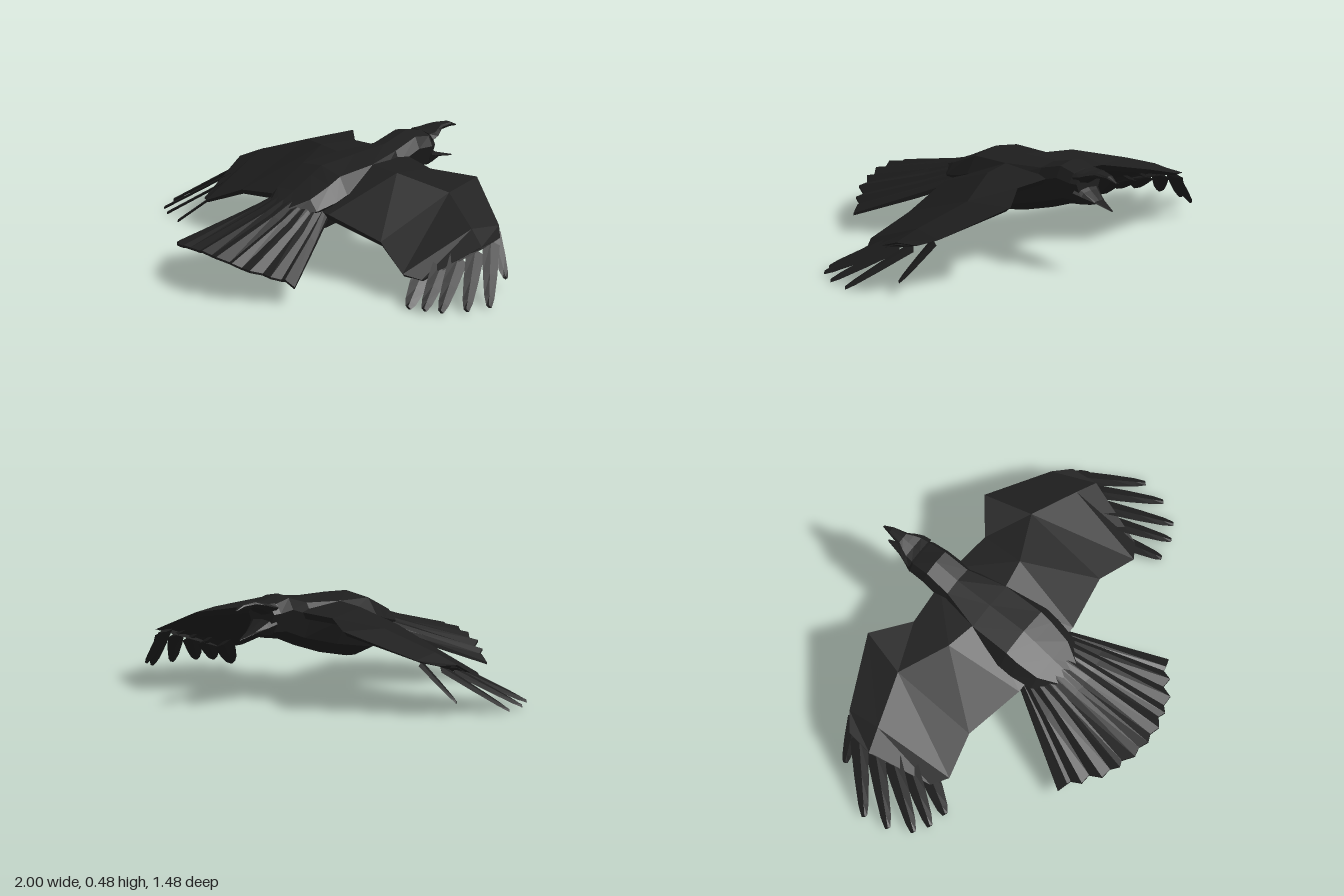
import * as THREE from 'three';

const material = new THREE.MeshStandardMaterial({
  color: 0x1e1e1e, flatShading: true, side: THREE.DoubleSide,
});

// Closed skin over equal-sized rings of [x, y, z]; side = -1 mirrors it in x
function loft(name, rings, side = 1) {
  const n = rings[0].length;
  const pts = rings.flat().map(([x, y, z]) => new THREE.Vector3(x * side, y, z));
  const tris = [];
  for (let r = 0; r < rings.length - 1; r++) {
    for (let i = 0; i < n; i++) {
      const a = r * n + i, b = r * n + (i + 1) % n;
      tris.push([a, b, b + n], [a, b + n, a + n]);
    }
  }
  const end = (rings.length - 1) * n;
  for (let i = 1; i < n - 1; i++) {
    tris.push([0, i + 1, i], [end, end + i, end + i + 1]);
  }
  // Turn the faces outward by the sign of the enclosed volume
  const centre = pts.reduce((s, p) => s.add(p), new THREE.Vector3()).divideScalar(pts.length);
  const local = pts.map((p) => p.clone().sub(centre));
  const cross = new THREE.Vector3();
  let volume = 0;
  for (const [a, b, c] of tris) volume += cross.crossVectors(local[a], local[b]).dot(local[c]);
  if (volume < 0) tris.forEach((t) => t.reverse());

  const geometry = new THREE.BufferGeometry().setFromPoints(tris.flat().map((i) => pts[i]));
  geometry.computeVertexNormals();
  const mesh = new THREE.Mesh(geometry, material);
  mesh.name = name;
  return mesh;
}

// Eight-sided section across the body, with a broad flat back and a narrow keel
function section([z, w, top, bottom]) {
  const h = top - bottom;
  const half = [[0, top], [0.72 * w, top - 0.07 * h], [w, top - 0.32 * h],
    [0.6 * w, bottom + 0.18 * h], [0, bottom]];
  const other = half.slice(1, 4).reverse().map(([x, y]) => [-x, y]);
  return [...half, ...other].map(([x, y]) => [x, y, z]);
}

const mix = (a, b, t) => a.map((v, i) => v + (b[i] - v) * t);

// Thin tapering blade from base to tip, lying in the drooping plane of the hand
function feather(base, tip, w, side) {
  const dx = tip[0] - base[0], dz = tip[2] - base[2];
  const len = Math.hypot(dx, dz);
  const ax = -dz / len, az = dx / len;
  const ay = -0.7 * ax - 0.15 * az;
  const rings = [[0, 1.3], [0.5, 1.05], [0.85, 0.75], [1, 0.4]].map(([t, k]) => {
    const [x, y, z] = mix(base, tip, t);
    const h = w * k;
    return [
      [x - ax * h, y - ay * h, z - az * h], [x, y + 0.007, z],
      [x + ax * h, y + ay * h, z + az * h], [x, y - 0.007, z],
    ];
  });
  return loft('flightFeather', rings, side);
}

function createWing(side) {
  const wing = new THREE.Group();
  wing.name = side > 0 ? 'leftWing' : 'rightWing';

  // Stations: leading edge, camber crest, trailing edge, thickness
  const stations = [
    [[0.05, 0.40, -0.39], [0.05, 0.425, -0.14], [0.08, 0.29, 0.165], 0.05],
    [[0.25, 0.385, -0.375], [0.25, 0.41, -0.18], [0.19, 0.28, 0.165], 0.045],
    [[0.41, 0.36, -0.505], [0.47, 0.352, -0.29], [0.46, 0.21, 0.10], 0.035],
    [[0.71, 0.245, -0.37], [0.70, 0.26, -0.22], [0.65, 0.12, 0.14], 0.02],
    [[0.785, 0.22, -0.31], [0.80, 0.21, -0.19], [0.72, 0.10, 0.09], 0.012],
  ];
  wing.add(loft('wingSurface', stations.map(([lead, crest, trail, t]) => [
    lead, crest, trail,
    [trail[0], trail[1] - t * 0.6, trail[2] - 0.01],
    [crest[0], crest[1] - t, crest[2]],
    [lead[0], lead[1] - t * 0.7, lead[2] + 0.03],
  ]), side));

  // Spread flight feathers: base, tip, half width
  const feathers = [
    [[0.71, 0.225, -0.335], [0.86, 0.062, -0.275], 0.027],
    [[0.77, 0.205, -0.27], [0.99, 0.012, -0.065], 0.03],
    [[0.77, 0.185, -0.18], [0.97, 0.015, 0.05], 0.03],
    [[0.75, 0.165, -0.10], [0.915, 0.018, 0.15], 0.03],
    [[0.72, 0.145, -0.03], [0.85, 0.02, 0.19], 0.03],
    [[0.68, 0.125, 0.04], [0.762, 0.01, 0.205], 0.032],
  ];
  for (const [base, tip, w] of feathers) wing.add(feather(base, tip, w, side));
  return wing;
}

// One pleated fan with a serrated end, arched down toward its sides
function createTail() {
  const half = [[0, 0.735], [0.04, 0.715], [0.085, 0.728], [0.13, 0.69],
    [0.16, 0.703], [0.19, 0.672], [0.24, 0.668], [0.262, 0.612],
    [0.31, 0.61], [0.328, 0.562], [0.348, 0.558], [0.39, 0.54]];
  const outline = [...half.slice(1).reverse().map(([x, z]) => [-x, z]), ...half];
  const thick = 0.02;
  const rings = outline.map(([x, z], i) => {
    const t = x / 0.39, a = Math.abs(t);
    const pleat = i % 2 ? 0.006 : -0.006;
    const base = [0.155 * t, 0.365 - 0.09 * t * t, 0.13];
    const tip = [x, 0.19 - 0.1 * a ** 1.6 + pleat, z];
    const mid = mix(base, tip, 0.4);
    mid[1] -= 0.01 * (1 - a);
    const under = ([px, py, pz], d) => [px, py - d, pz];
    return [base, mid, tip, under(tip, 0.01), under(mid, thick), under(base, thick)];
  });
  return loft('tail', rings);
}

export function createModel() {
  const bird = new THREE.Group();
  bird.name = 'flyingBird';

  // Head, neck, trunk and rump: z, half width, top, bottom
  bird.add(loft('body', [
    [-0.56, 0.07, 0.455, 0.30], [-0.53, 0.085, 0.463, 0.292],
    [-0.45, 0.09, 0.48, 0.28], [-0.33, 0.098, 0.445, 0.235],
    [-0.15, 0.165, 0.438, 0.18], [0.04, 0.17, 0.43, 0.14],
    [0.10, 0.168, 0.40, 0.135], [0.20, 0.15, 0.35, 0.165],
    [0.29, 0.08, 0.31, 0.20],
  ].map(section)));

  // Open beak
  bird.add(loft('upperBeak', [
    [-0.54, 0.08, 0.46, 0.385], [-0.575, 0.074, 0.458, 0.41],
    [-0.605, 0.056, 0.464, 0.43], [-0.635, 0.034, 0.47, 0.438],
    [-0.70, 0.018, 0.464, 0.44], [-0.742, 0.004, 0.441, 0.435],
  ].map(section)));
  bird.add(loft('lowerBeak', [
    [-0.54, 0.075, 0.395, 0.295], [-0.575, 0.056, 0.37, 0.302],
    [-0.63, 0.03, 0.335, 0.32], [-0.715, 0.004, 0.308, 0.302],
  ].map(section)));

  bird.add(createWing(1), createWing(-1), createTail());
  return bird;
}
